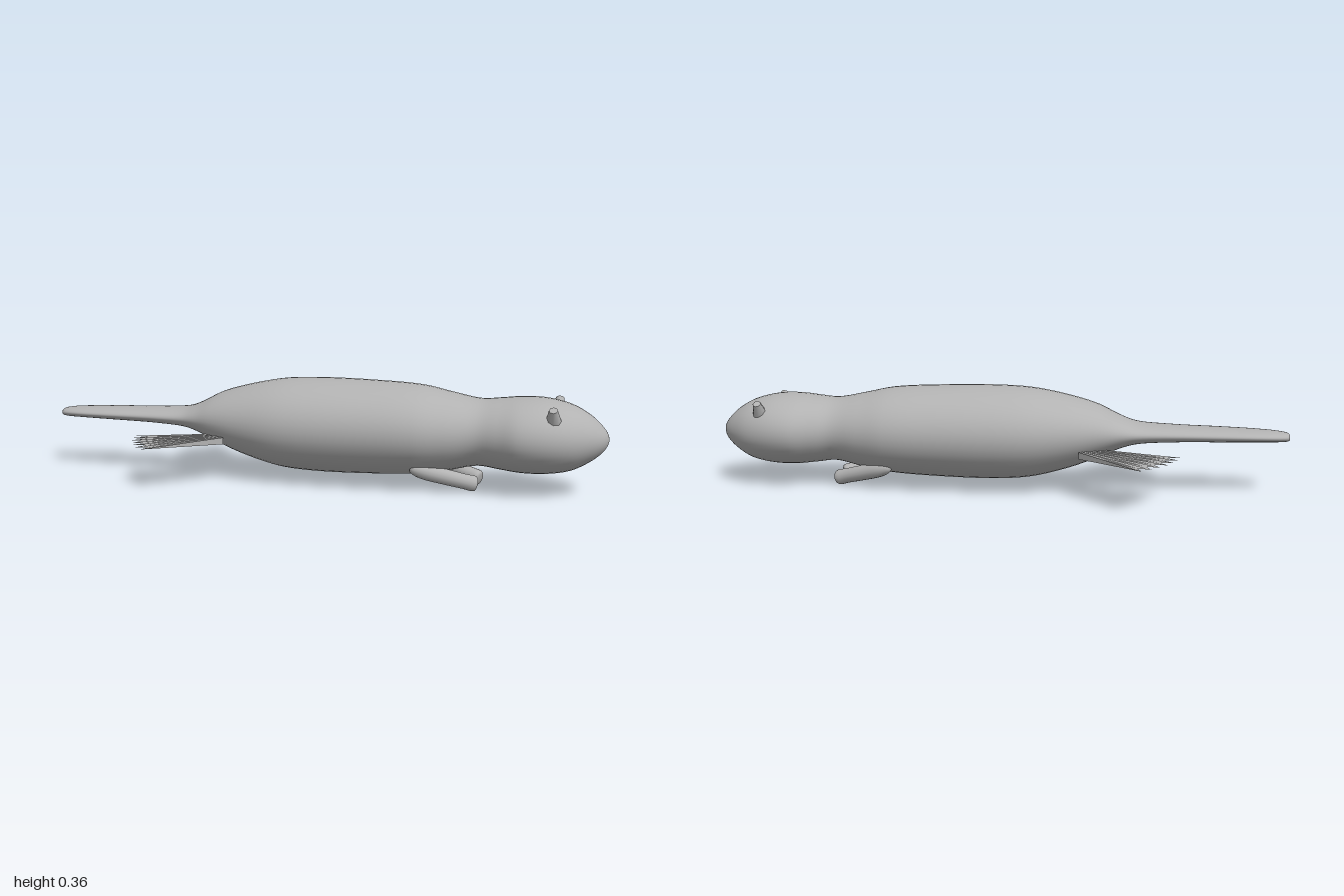
import * as THREE from 'three';

const fur = new THREE.MeshStandardMaterial({ color: 0xb2b2b2 });
fur.name = 'grey fur';

function addMesh(parent, geometry, name) {
  const mesh = new THREE.Mesh(geometry, fur);
  mesh.name = name;
  parent.add(mesh);
  return mesh;
}

// Smooth skin through elliptical sections along x: [x, top, bottom, half width]
function loftAlongX(sections, steps, sides) {
  const heights = new THREE.CatmullRomCurve3(sections.map(([x, t, b]) => new THREE.Vector3(x, t, b)));
  const widths = new THREE.CatmullRomCurve3(sections.map(([x, , , w]) => new THREE.Vector3(x, w, 0)));
  const pos = [], index = [];
  for (let i = 0; i <= steps; i++) {
    const h = heights.getPoint(i / steps), w = widths.getPoint(i / steps).y;
    for (let j = 0; j < sides; j++) {
      const a = (j / sides) * Math.PI * 2;
      pos.push(h.x, (h.y + h.z) / 2 + Math.cos(a) * (h.y - h.z) / 2, Math.sin(a) * w);
    }
  }
  for (let i = 0; i < steps; i++) {
    for (let j = 0; j < sides; j++) {
      const a = i * sides + j, b = i * sides + (j + 1) % sides;
      index.push(a, b, a + sides, b, b + sides, a + sides);
    }
  }
  const geo = new THREE.BufferGeometry();
  geo.setAttribute('position', new THREE.Float32BufferAttribute(pos, 3));
  geo.setIndex(index);
  geo.computeVertexNormals();
  return geo;
}

// Webbed fan: ridged ribs with pointed tips, thinning to an edge
function flipperGeometry() {
  const ribs = 7, n = (ribs - 1) * 2, pos = [];
  const section = (j) => {
    const a = THREE.MathUtils.degToRad(132 + (36 * j) / n);
    const isRib = j % 2 === 0;
    const at = (r, y) => [-0.2 + r * Math.cos(a), y, 0.07 + r * Math.sin(a)];
    const t = isRib ? 0.012 : 0.006;
    return { top: at(0.13, t), bottom: at(0.13, -t), tip: at(isRib ? 0.435 : 0.395, 0) };
  };
  const tri = (...pts) => pts.forEach((p) => pos.push(...p));
  for (let j = 0; j < n; j++) {
    const p = section(j), q = section(j + 1);
    tri(p.top, q.top, p.tip);
    tri(q.top, q.tip, p.tip);
    tri(p.bottom, p.tip, q.bottom);
    tri(q.bottom, p.tip, q.tip);
    tri(p.top, p.bottom, q.bottom);
    tri(p.top, q.bottom, q.top);
  }
  const first = section(0), last = section(n);
  tri(first.top, first.tip, first.bottom);
  tri(last.top, last.bottom, last.tip);
  const geo = new THREE.BufferGeometry();
  geo.setAttribute('position', new THREE.Float32BufferAttribute(pos, 3));
  geo.computeVertexNormals();
  return geo;
}

// Place a part built along +y so that it runs from one point towards another
function aim(mesh, from, to) {
  const start = new THREE.Vector3(...from);
  const dir = new THREE.Vector3(...to).sub(start).normalize();
  mesh.position.copy(start);
  mesh.quaternion.setFromUnitVectors(new THREE.Vector3(0, 1, 0), dir);
}

export function createModel() {
  const model = new THREE.Group();
  model.name = 'swimmingAnimal';

  // Tail, trunk, neck and head as one continuous skin
  const sections = [
    [-1, 0.203, 0.201, 0.003], [-0.998, 0.215, 0.19, 0.028], [-0.975, 0.221, 0.187, 0.048],
    [-0.9, 0.227, 0.186, 0.07], [-0.78, 0.232, 0.184, 0.081], [-0.6, 0.238, 0.18, 0.09],
    [-0.48, 0.248, 0.171, 0.104], [-0.42, 0.27, 0.153, 0.123], [-0.35, 0.305, 0.122, 0.15],
    [-0.25, 0.335, 0.084, 0.18], [-0.12, 0.36, 0.05, 0.208], [0, 0.367, 0.04, 0.216],
    [0.2, 0.365, 0.042, 0.212], [0.38, 0.355, 0.053, 0.2], [0.48, 0.335, 0.069, 0.174],
    [0.58, 0.317, 0.09, 0.148], [0.65, 0.322, 0.083, 0.162], [0.72, 0.329, 0.076, 0.182],
    [0.8, 0.327, 0.077, 0.176], [0.88, 0.308, 0.091, 0.146], [0.94, 0.275, 0.122, 0.1],
    [0.98, 0.238, 0.155, 0.054], [0.995, 0.216, 0.178, 0.025], [1, 0.198, 0.196, 0.001],
  ];
  addMesh(model, loftAlongX(sections, 115, 40), 'body');

  // Foreleg profile: slim shoulder widening to a blunt paw
  const legProfile = new THREE.SplineCurve([
    [0.001, 0], [0.016, 0.01], [0.026, 0.05], [0.027, 0.12], [0.026, 0.19],
    [0.027, 0.222], [0.021, 0.234], [0.001, 0.237],
  ].map(([r, y]) => new THREE.Vector2(r, y))).getPoints(28);

  for (const side of [1, -1]) {
    const label = side > 0 ? 'Left' : 'Right';

    const leg = addMesh(model, new THREE.LatheGeometry(legProfile, 16), 'foreleg' + label);
    aim(leg, [0.365, 0.09, 0.128 * side], [0.58, 0.031, 0.045 * side]);

    // Stubby ears standing out of the head
    const ear = addMesh(model, new THREE.CylinderGeometry(0.014, 0.026, 0.055, 8), 'ear' + label);
    aim(ear, [0.828, 0.287, 0.138 * side], [0.828, 0.315, 0.159 * side]);

    // Turning half round about x mirrors the fan to the other side
    const flipper = addMesh(model, flipperGeometry(), 'hindFlipper' + label);
    flipper.position.y = 0.154;
    flipper.rotation.x = side > 0 ? 0 : Math.PI;
  }
  return model;
}
